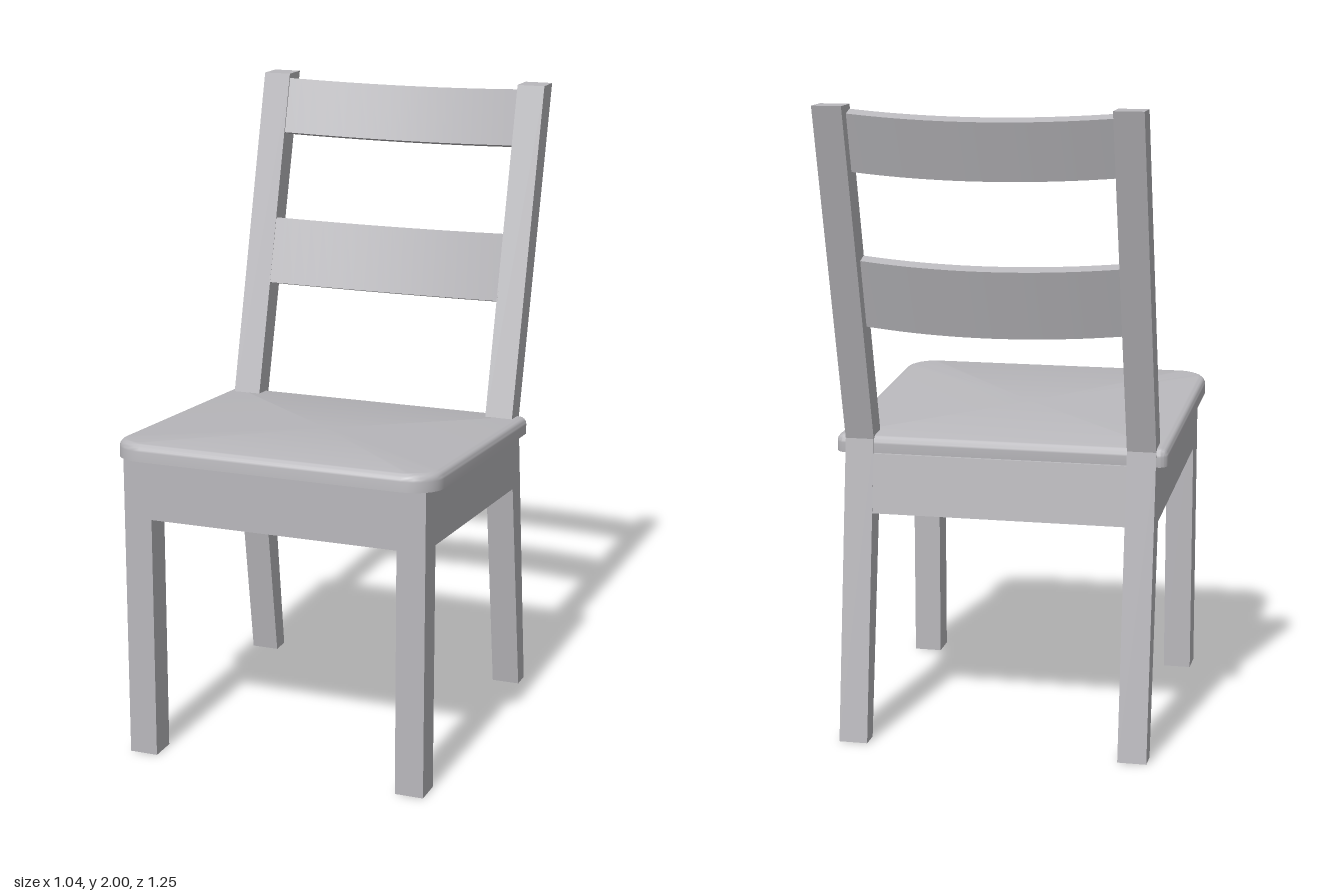
import * as THREE from 'three';
import { toCreasedNormals } from 'three/addons/utils/BufferGeometryUtils.js';

const paint = new THREE.MeshStandardMaterial({ color: 0xb9b8bc });
paint.name = 'warm grey paint';

function part(name, geometry) {
  const mesh = new THREE.Mesh(geometry, paint);
  mesh.name = name;
  return mesh;
}

// Side profile of [z, y] points, given a width along x from x0
function prism(points, x0, width) {
  const shape = new THREE.Shape(points.map(([z, y]) => new THREE.Vector2(z, y)));
  return new THREE.ExtrudeGeometry(shape, { depth: width, bevelEnabled: false })
    .rotateY(-Math.PI / 2)
    .translate(x0 + width, 0, 0);
}

// Rounded rectangle loop, shrunk by inset: wide radius in front, small one behind
function seatLoop(inset, y) {
  const hx = 0.52, hz = 0.475, steps = 8, loop = [];
  const corners = [[1, 1, 0.1], [1, -1, 0.027], [-1, -1, 0.027], [-1, 1, 0.1]];
  corners.forEach(([sx, sz, r], c) => {
    for (let i = 0; i <= steps; i++) {
      const a = (c + i / steps) * Math.PI / 2;
      loop.push([sx * (hx - r) + Math.sin(a) * (r - inset), y,
        sz * (hz - r) + Math.cos(a) * (r - inset)]);
    }
  });
  return loop;
}

// Slab with a rounded upper edge and a sharp lower edge
function seatGeometry() {
  const thick = 0.055, round = 0.024, loops = [seatLoop(0, -thick)];
  for (let i = 0; i <= 6; i++) {
    const a = i / 6 * Math.PI / 2;
    loops.push(seatLoop(round * (1 - Math.cos(a)), round * (Math.sin(a) - 1)));
  }
  const n = loops[0].length, last = (loops.length - 1) * n;
  const pos = [...loops.flat(2), 0, -thick, 0, 0, 0, 0];
  const bottom = last + n, top = bottom + 1, index = [];
  for (let i = 0; i < n; i++) {
    const j = (i + 1) % n;
    for (let k = 0; k < last; k += n) {
      index.push(k + i, k + j, k + n + j, k + i, k + n + j, k + n + i);
    }
    index.push(bottom, j, i, top, last + i, last + j);
  }
  const g = new THREE.BufferGeometry();
  g.setAttribute('position', new THREE.Float32BufferAttribute(pos, 3));
  g.setIndex(index);
  return toCreasedNormals(g, 0.6);
}

// Slat bowed towards the back, standing on its lower edge
function slatGeometry(height) {
  const half = 0.4, bow = 0.05, thick = 0.04, steps = 20, front = [], back = [];
  for (let i = 0; i <= steps; i++) {
    const t = i / steps * 2 - 1;
    const d = bow * (1 - t * t) - 0.003;
    front.push(new THREE.Vector2(t * half, d));
    back.unshift(new THREE.Vector2(t * half, d + thick));
  }
  const g = new THREE.ExtrudeGeometry(new THREE.Shape([...front, ...back]),
    { depth: height, bevelEnabled: false });
  return toCreasedNormals(g.rotateX(-Math.PI / 2), 0.6);
}

export function createModel() {
  const chair = new THREE.Group();
  chair.name = 'chair';
  const legX = 0.397, legW = 0.09;

  // Seat, tipped slightly backwards
  const seat = part('seat', seatGeometry());
  seat.position.set(0, 0.99, 0.147);
  seat.rotation.x = -0.066;
  chair.add(seat);

  // Legs, back posts and side aprons, mirrored
  const postProfile = [[-0.385, 0], [-0.241, 0.935], [-0.534, 2], [-0.622, 2], [-0.325, 0.95], [-0.449, 0]];
  const legProfile = [[0.5, 0], [0.5, 0.965], [0.59, 0.97], [0.59, 0]];
  const sideProfile = [[-0.3, 0.72], [-0.3, 0.915], [0.51, 0.968], [0.51, 0.775]];
  for (const [side, s] of [['left', 1], ['right', -1]]) {
    const start = (width) => (s > 0 ? legX + legW - width : -legX - legW);
    chair.add(part(side + 'BackPost', prism(postProfile, start(legW), legW)));
    chair.add(part(side + 'FrontLeg', prism(legProfile, start(legW), legW)));
    chair.add(part(side + 'Apron', prism(sideProfile, start(0.05), 0.05)));
  }

  // Front and back aprons, flush with the legs
  const frontProfile = [[0.54, 0.775], [0.54, 0.97], [0.59, 0.97], [0.59, 0.775]];
  const backProfile = [[-0.354, 0.72], [-0.331, 0.905], [-0.281, 0.91], [-0.304, 0.72]];
  chair.add(part('frontApron', prism(frontProfile, -legX, legX * 2)));
  chair.add(part('backApron', prism(backProfile, -legX, legX * 2)));

  // Curved back slats, leaning with the posts
  const lean = 0.2751;
  for (const [name, y, height] of [['upperSlat', 1.81, 0.182], ['lowerSlat', 1.325, 0.218]]) {
    const slat = part(name, slatGeometry(height));
    slat.position.set(0, y, -0.241 - (y - 0.935) * Math.tan(lean));
    slat.rotation.x = -lean;
    chair.add(slat);
  }
  return chair;
}
